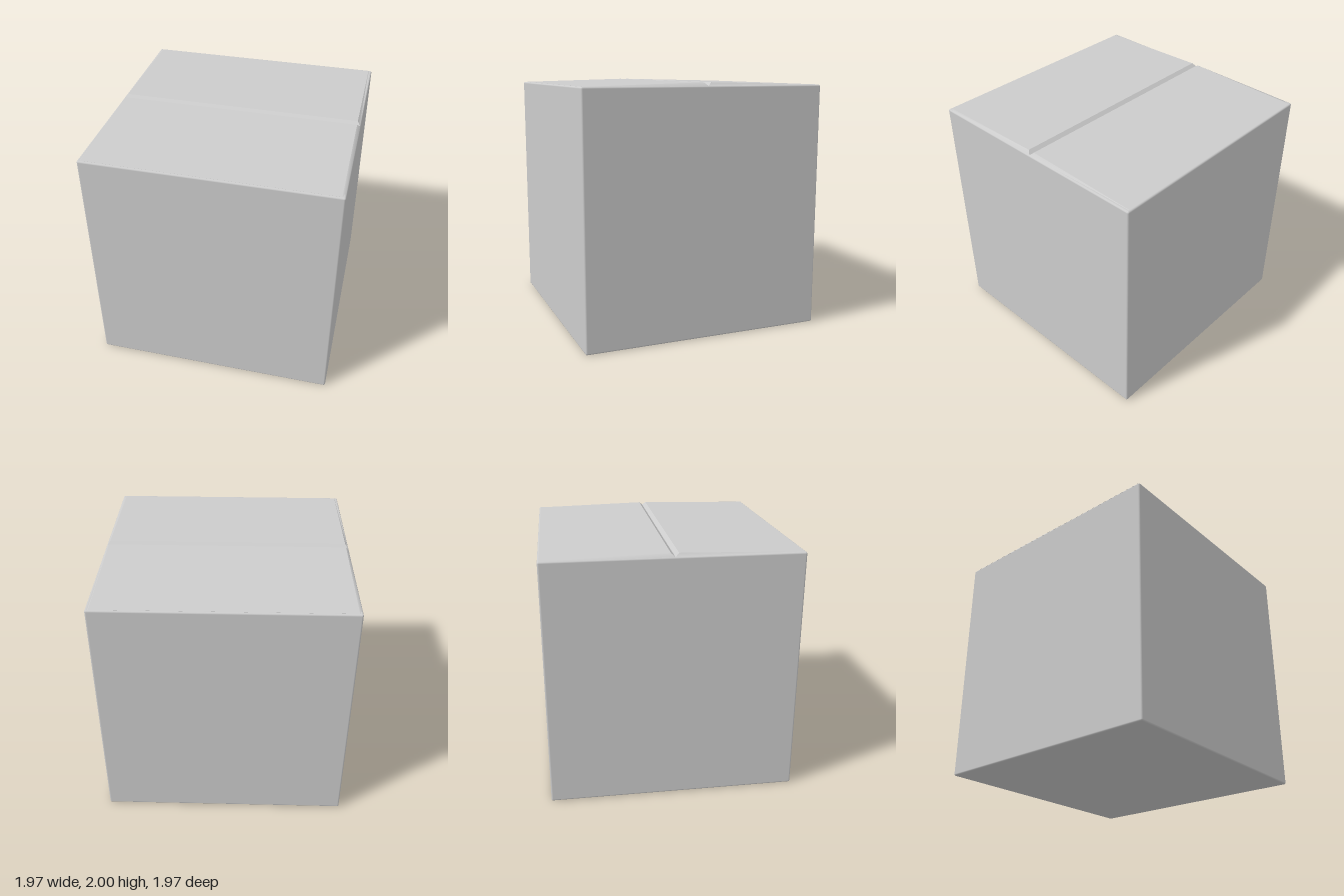
import * as THREE from 'three';
import { RoundedBoxGeometry } from 'three/addons/geometries/RoundedBoxGeometry.js';

const WIDTH = 1.974, HEIGHT = 1.976, EDGE = 0.014;

// Closed lid flap: a thin wedge rising from the outer edge to the centre seam,
// with bevelled ends and a bevelled seam edge.
function flapGeometry() {
  const geometry = new THREE.BoxGeometry(2, 1, 1);
  const p = geometry.attributes.position;
  for (let i = 0; i < p.count; i++) {
    const top = p.getY(i) > 0, outer = p.getZ(i) > 0;
    const x = Math.sign(p.getX(i)) * (top ? 0.96 : 0.982);
    const y = top ? (outer ? HEIGHT + 0.0005 : 2) : HEIGHT - 0.002;
    const z = outer ? 0.972 : (top ? 0.03 : 0);
    p.setXYZ(i, x, y, z);
  }
  geometry.computeVertexNormals();
  return geometry;
}

export function createModel() {
  const model = new THREE.Group();
  model.name = 'cardboardBox';
  const material = new THREE.MeshStandardMaterial({ color: 0xcccccc });

  // Box body with softly rounded edges
  const body = new THREE.Mesh(new RoundedBoxGeometry(WIDTH, HEIGHT, WIDTH, 3, EDGE), material);
  body.name = 'boxBody';
  body.position.y = HEIGHT / 2;
  model.add(body);

  // Two lid flaps meeting at the centre seam
  const geometry = flapGeometry();
  for (const [name, turn] of [['frontFlap', 0], ['backFlap', Math.PI]]) {
    const flap = new THREE.Mesh(geometry, material);
    flap.name = name;
    flap.rotation.y = turn;
    model.add(flap);
  }
  return model;
}
